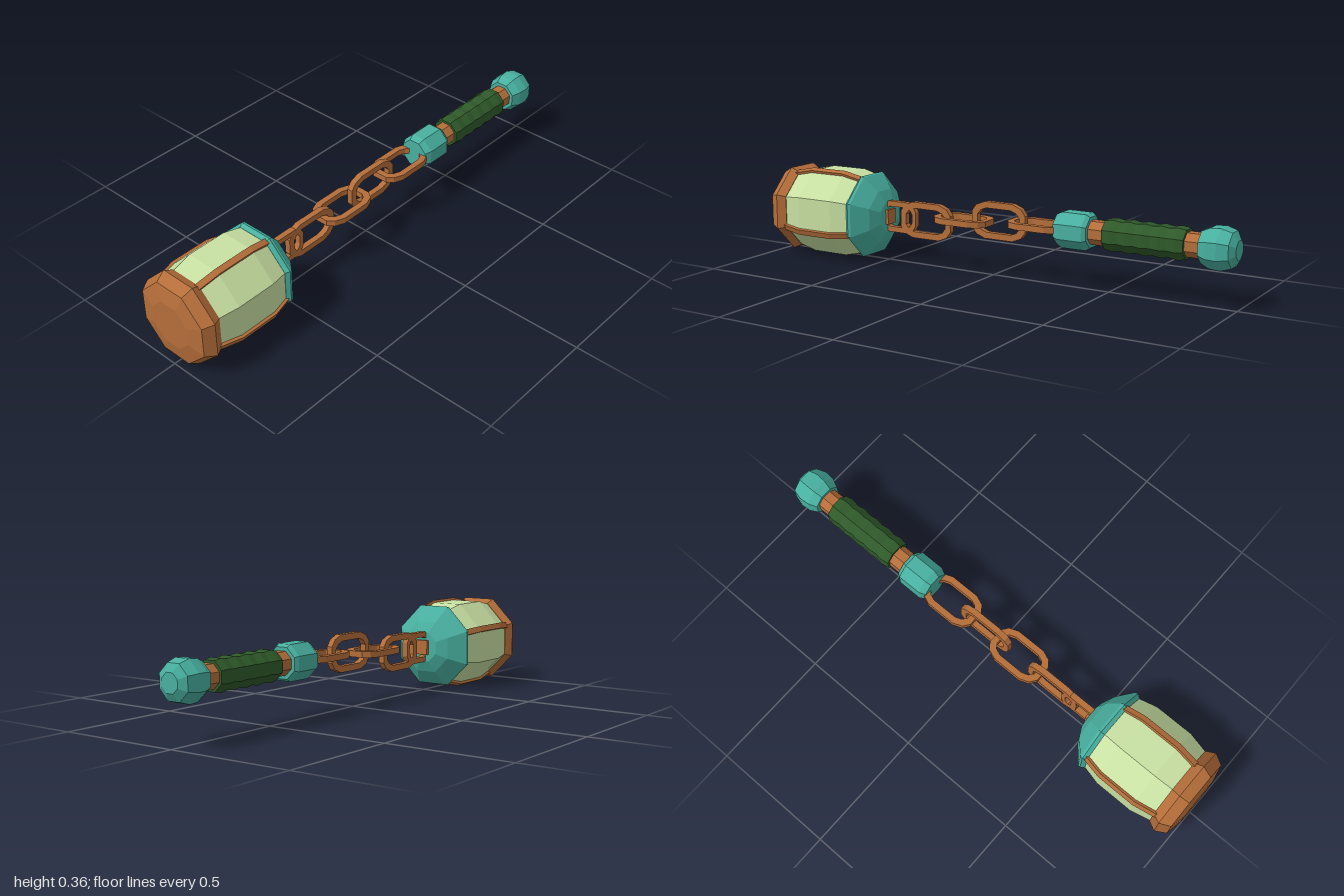
import * as THREE from 'three';

const paint = (color) => new THREE.MeshStandardMaterial({ color, flatShading: true });

export function createModel() {
  const model = new THREE.Group();
  const wood = paint(0xb56e3a);
  const teal = paint(0x48b0a0);
  const pale = paint(0xc8e0a2);
  const green = paint(0x2f5a2a);
  const headY = 0.18, handleY = 0.22;

  function add(name, geometry, material, y, parent = model) {
    const mesh = new THREE.Mesh(geometry, material);
    mesh.name = name;
    mesh.position.y = y;
    parent.add(mesh);
    return mesh;
  }

  // Octagonal turned part along z; profile is [apothem, z] with z rising
  function turned(name, profile, material, y) {
    const points = profile.map(([a, z]) => new THREE.Vector2(a / Math.cos(Math.PI / 8), z));
    const geometry = new THREE.LatheGeometry(points, 8, Math.PI / 8);
    geometry.rotateX(Math.PI / 2);
    return add(name, geometry, material, y);
  }

  // Head: barrel, front cap and rear cap
  turned('headBarrel', [
    [0, 0.57], [0.148, 0.57], [0.152, 0.59], [0.17, 0.67], [0.17, 0.83], [0.152, 0.915], [0, 0.915],
  ], pale, headY);
  turned('headFrontCap', [
    [0, 0.91], [0.155, 0.91], [0.172, 0.945], [0.15, 0.987], [0.087, 1], [0, 1],
  ], wood, headY);
  turned('headRearCap', [
    [0, 0.497], [0.06, 0.497], [0.105, 0.52], [0.163, 0.572], [0.166, 0.583], [0.155, 0.598], [0, 0.598],
  ], teal, headY);

  // Curved straps over every second corner of the barrel
  const strapShape = new THREE.Shape([
    [0.14, 0.58], [0.168, 0.58], [0.19, 0.67], [0.19, 0.83], [0.17, 0.92], [0.14, 0.92],
    [0.165, 0.83], [0.165, 0.67],
  ].map(([r, z]) => new THREE.Vector2(r, z)));
  const strapGeometry = new THREE.ExtrudeGeometry(strapShape, { depth: 0.024, bevelEnabled: false });
  strapGeometry.translate(0, 0, -0.012);
  strapGeometry.rotateX(Math.PI / 2);
  for (let i = 0; i < 4; i++) {
    add('headStrap', strapGeometry, wood, headY).rotation.z = Math.PI * (3 / 8 + i / 2);
  }

  // Chain links: twelve-sided ovals with a square section
  function oval(corner) {
    const points = [];
    for (const [sx, sy] of [[1, 1], [-1, 1], [-1, -1], [1, -1]]) {
      const quarter = corner.map(([x, y]) => new THREE.Vector2(x * sx, y * sy));
      points.push(...(sx * sy > 0 ? quarter : quarter.reverse()));
    }
    return points;
  }
  const chain = new THREE.Group();
  chain.name = 'chain';
  model.add(chain);
  function link(z, y, vertical, width = 1, length = 1) {
    const shape = new THREE.Shape(oval([[0.073, 0.062], [0.058, 0.1], [0.032, 0.119]]
      .map(([a, b]) => [a * width, b * length])));
    shape.holes.push(new THREE.Path(oval([[0.048, 0.054], [0.038, 0.08], [0.02, 0.094]]
      .map(([a, b]) => [a * width, b * length]))));
    const geometry = new THREE.ExtrudeGeometry(shape, { depth: 0.024, bevelEnabled: false });
    geometry.translate(0, 0, -0.012);
    geometry.rotateX(Math.PI / 2);
    if (vertical) geometry.rotateZ(Math.PI / 2);
    add('chainLink', geometry, wood, y, chain).position.z = z;
  }
  link(0.445, 0.183, true, 0.87, 0.72);
  link(0.312, 0.18, true);
  link(0.137, 0.203, false);
  link(-0.028, 0.217, true);
  link(-0.2, 0.22, false);
  add('chainStaple', new THREE.BoxGeometry(0.05, 0.06, 0.02), wood, headY, chain).position.z = 0.495;

  // Handle: collar, shaft, grip and pommel
  turned('handleCollar', [
    [0, -0.43], [0.058, -0.43], [0.068, -0.415], [0.068, -0.315], [0.056, -0.29], [0, -0.29],
  ], teal, handleY);
  turned('handleShaft', [[0, -0.88], [0.044, -0.88], [0.044, -0.41], [0, -0.41]], wood, handleY);

  // Wrapped grip with shallow ridges
  const grip = [[0, -0.81]];
  const ridges = 10;
  for (let i = 0; i <= ridges; i++) grip.push([i % 2 ? 0.059 : 0.054, -0.81 + 0.32 * i / ridges]);
  grip.push([0, -0.49]);
  turned('handleGrip', grip, green, handleY);

  turned('pommel', [
    [0, -1], [0.035, -1], [0.064, -0.982], [0.076, -0.94], [0.073, -0.9], [0.058, -0.866], [0, -0.866],
  ], teal, handleY);

  return model;
}
